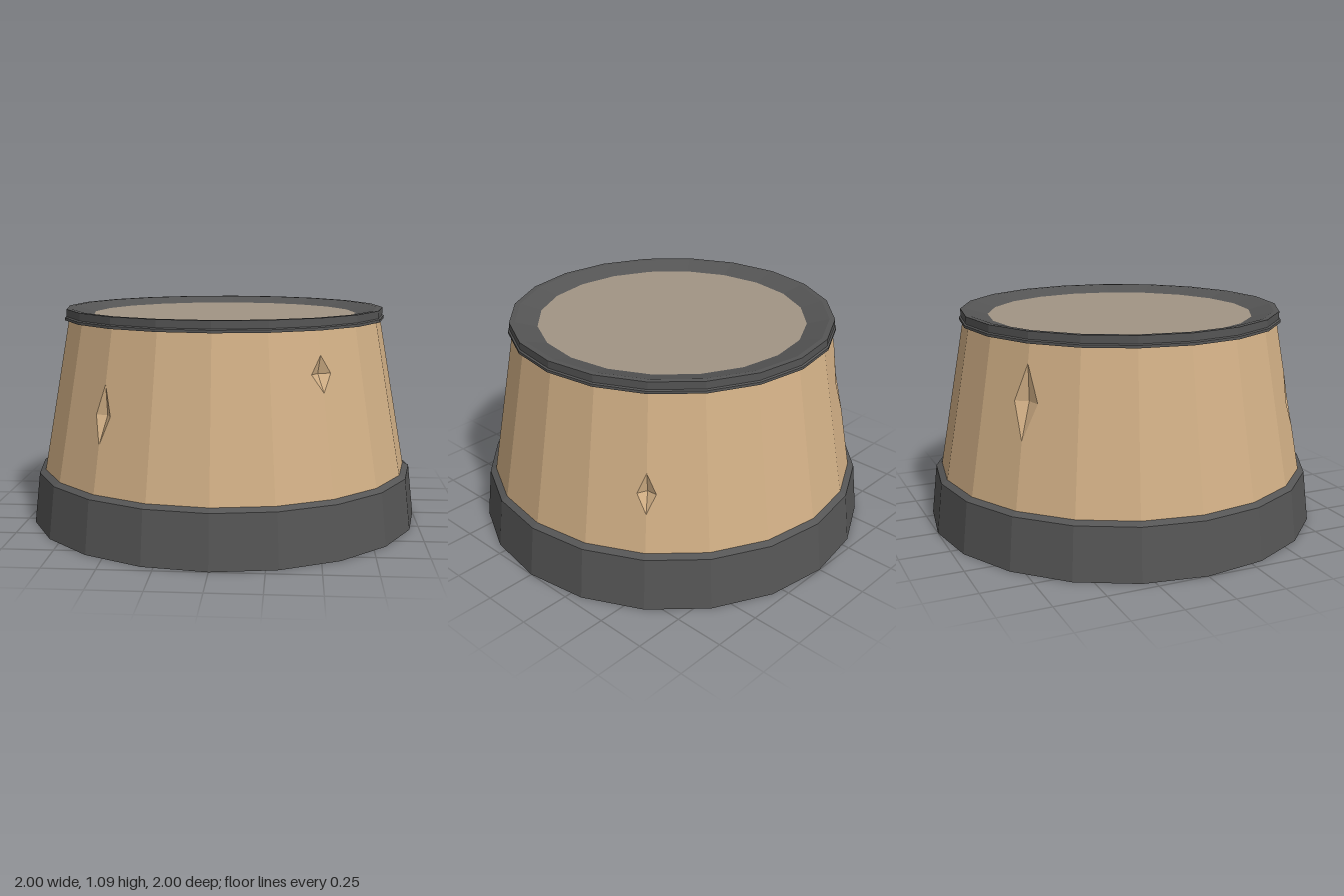
import * as THREE from 'three';

const SIDES = 20;
const STEP = (Math.PI * 2) / SIDES;

const paint = (name, color) => {
  const m = new THREE.MeshStandardMaterial({ color, flatShading: true, side: THREE.DoubleSide });
  m.name = name;
  return m;
};

// Wooden wall: a tapering ring of staves
const WALL = { y0: 0.27, r0: 0.94, y1: 1.04, r1: 0.80 };

// Chips in the wood, keyed by the stave edge they sit on
const CHIPS = {
  2: { bottom: 0.75, mid: 0.835, top: 0.92, half: 0.055 },
  7: { bottom: 0.465, mid: 0.56, top: 0.66, half: 0.045 },
  12: { bottom: 0.59, mid: 0.765, top: 0.94, half: 0.065 },
  18: { bottom: 0.5, mid: 0.635, top: 0.78, half: 0.047 },
};
const CHIP_DEPTH = 0.035;

const wallRadius = (y) =>
  THREE.MathUtils.mapLinear(y, WALL.y0, WALL.y1, WALL.r0, WALL.r1);

// Point on stave edge k at height y, pushed in by depth
function edgePoint(k, y, depth = 0) {
  const r = wallRadius(y) - depth;
  return new THREE.Vector3(r * Math.sin(k * STEP), y, r * Math.cos(k * STEP));
}

function wallGeometry() {
  const points = [];
  const tri = (...corners) => points.push(...corners);

  for (let k = 0; k < SIDES; k++) {
    const n = (k + 1) % SIDES;
    const a = edgePoint(k, WALL.y0), b = edgePoint(n, WALL.y0);
    const c = edgePoint(n, WALL.y1), d = edgePoint(k, WALL.y1);
    const edge = CHIPS[k] ? k : n;
    const chip = CHIPS[edge];
    if (!chip) {
      tri(a, b, c, a, c, d);
      continue;
    }
    // A chipped stave fans out from the side corner of its chip
    const low = edgePoint(edge, chip.bottom), high = edgePoint(edge, chip.top);
    const core = edgePoint(edge, chip.mid, CHIP_DEPTH);
    const here = edgePoint(edge, chip.mid);
    const there = edgePoint(edge === k ? n : k, chip.mid);
    const side = here.clone().lerp(there, chip.half / here.distanceTo(there));
    const loop = edge === k ? [low, a, b, c, d, high] : [high, c, d, a, b, low];
    for (let i = 0; i < loop.length - 1; i++) tri(side, loop[i], loop[i + 1]);
    if (edge === k) tri(side, core, low, side, high, core);
    else tri(side, core, high, side, low, core);
  }
  const geometry = new THREE.BufferGeometry().setFromPoints(points);
  geometry.computeVertexNormals();
  return geometry;
}

const ring = (profile) =>
  new THREE.LatheGeometry(profile.map(([r, y]) => new THREE.Vector2(r, y)), SIDES);

export function createModel() {
  const group = new THREE.Group();
  group.name = 'tub';

  const wood = paint('wood', 0xd2b086);
  const iron = paint('iron', 0x555555);
  const stone = paint('lid', 0xa19484);

  const add = (name, geometry, material) => {
    const mesh = new THREE.Mesh(geometry, material);
    mesh.name = name;
    group.add(mesh);
    return mesh;
  };

  add('wall', wallGeometry(), wood);

  // Wide band around the open foot
  add('bottomBand', ring([[1, 0], [0.97, 0.258], [0.94, 0.275]]), iron);

  // Rim with a small lip, sloping inward to the sunken lid
  add('topRim', ring([
    [0.80, 1.03], [0.82, 1.032], [0.82, 1.045], [0.812, 1.05],
    [0.812, 1.087], [0.785, 1.087], [0.675, 1.057],
  ]), iron);

  const lid = add('lid', new THREE.CircleGeometry(0.675, SIDES), stone);
  lid.rotation.x = -Math.PI / 2;
  lid.position.y = 1.057;

  return group;
}
